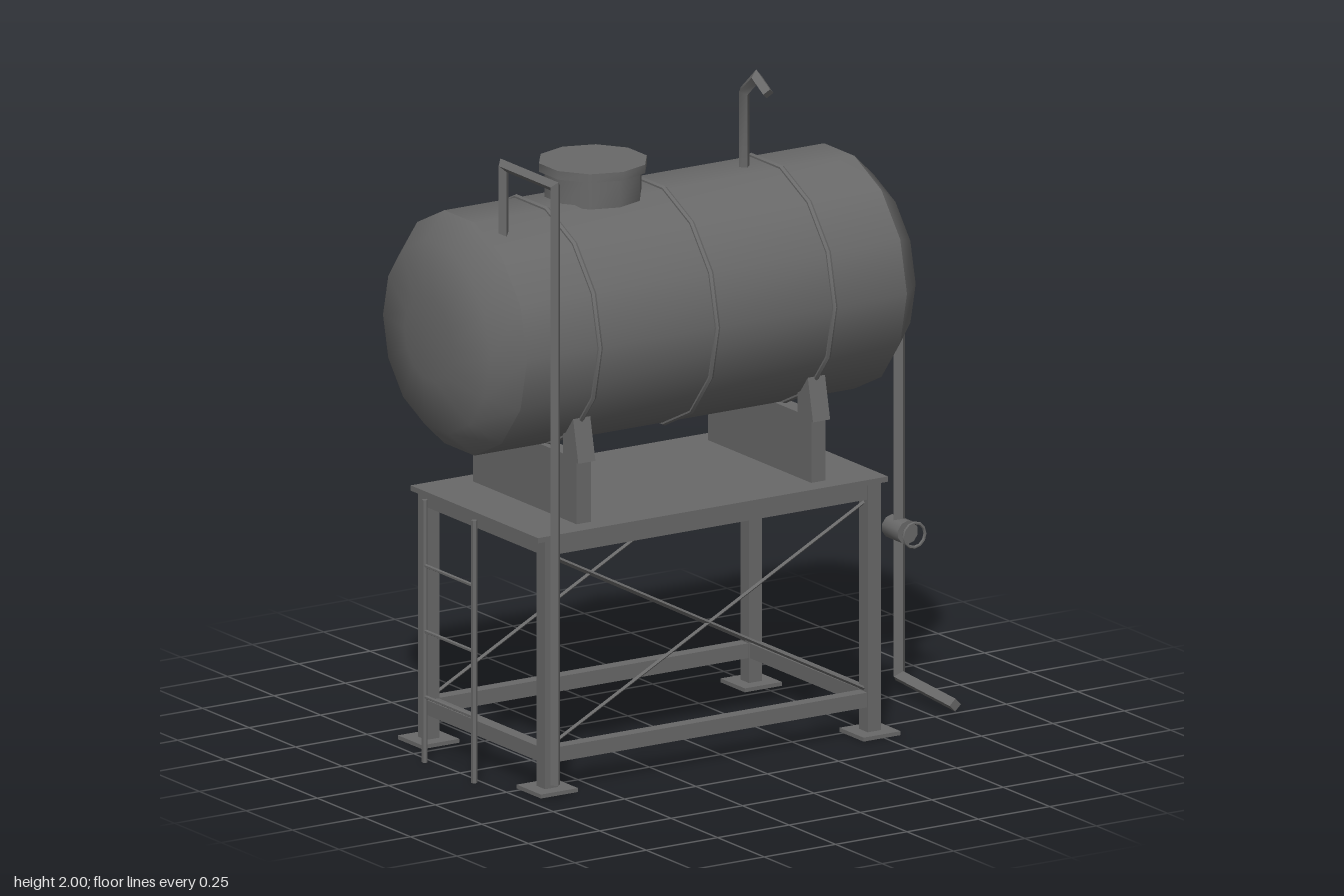
import * as THREE from 'three';
import { toCreasedNormals } from 'three/addons/utils/BufferGeometryUtils.js';

const CX = -0.073, CZ = -0.022, TANK_Y = 1.334; // tank and frame centre
const V = (x, y, z) => new THREE.Vector3(x, y, z);

export function createModel() {
  const root = new THREE.Group();
  const steel = new THREE.MeshStandardMaterial({ color: 0x696969 });

  function add(name, geometry, x = 0, y = 0, z = 0) {
    const mesh = new THREE.Mesh(toCreasedNormals(geometry, 0.7), steel);
    mesh.name = name;
    mesh.position.set(x, y, z);
    root.add(mesh);
    return mesh;
  }
  const box = (name, w, h, d, x, y, z) => add(name, new THREE.BoxGeometry(w, h, d), x, y, z);

  // Mitred pipe: one ring per point, each slid along its segment onto the mitre plane
  function pipe(name, points, radius, sides = 4) {
    const dirs = points.slice(1).map((p, i) => p.clone().sub(points[i]).normalize());
    const d0 = dirs[0];
    const u = (Math.abs(d0.x) > 0.9 ? V(0, 0, 1) : V(1, 0, 0)).cross(d0).normalize();
    const v = d0.clone().cross(u);
    let ring = [];
    for (let i = 0; i < sides; i++) {
      const a = (i / sides) * Math.PI * 2;
      ring.push(points[0].clone().addScaledVector(u, radius * Math.cos(a)).addScaledVector(v, radius * Math.sin(a)));
    }
    const pos = [], idx = [];
    const push = (p) => pos.push(p.x, p.y, p.z);
    ring.forEach(push);
    for (let k = 1; k < points.length; k++) {
      const d = dirs[k - 1];
      const n = d.clone().add(dirs[k] ?? d).normalize();
      ring = ring.map((p) => p.clone().addScaledVector(d, points[k].clone().sub(p).dot(n) / d.dot(n)));
      ring.forEach(push);
      for (let i = 0; i < sides; i++) {
        const j = (i + 1) % sides, a = (k - 1) * sides, b = k * sides;
        idx.push(a + i, a + j, b + j, a + i, b + j, b + i);
      }
    }
    const last = (points.length - 1) * sides;
    for (let i = 1; i < sides - 1; i++) {
      idx.push(0, i + 1, i, last, last + i, last + i + 1);
    }
    const g = new THREE.BufferGeometry();
    g.setAttribute('position', new THREE.Float32BufferAttribute(pos, 3));
    g.setIndex(idx);
    return add(name, g);
  }

  // Tank shell with bevelled, slightly domed ends
  const half = [[0.665, 0.364], [0.745, 0.288], [0.775, 0.126], [0.775, 0]];
  const profile = [
    ...half.slice().reverse().map(([x, r]) => new THREE.Vector2(r, -x)),
    ...half.map(([x, r]) => new THREE.Vector2(r, x)),
  ];
  add('tank', new THREE.LatheGeometry(profile, 14).rotateZ(-Math.PI / 2), CX, TANK_Y, CZ);

  // Bands round the tank
  for (const dx of [-0.411, 0, 0.411]) {
    add('tankBand', new THREE.TorusGeometry(0.365, 0.009, 6, 14).rotateY(Math.PI / 2), CX + dx, TANK_Y, CZ);
  }

  // Manhole, vertex towards the front
  add('manholeNeck', new THREE.CylinderGeometry(0.147, 0.147, 0.095, 10), -0.272, 1.7275, -0.02);
  add('manholeLid', new THREE.CylinderGeometry(0.164, 0.164, 0.026, 10), -0.272, 1.779, -0.02);

  // Saddles with cheeks that hold the tank
  for (const x of [CX - 0.411, CX + 0.411]) {
    box('saddle', 0.05, 0.2, 0.556, x, 0.88, CZ);
    for (const s of [-1, 1]) {
      const shape = new THREE.Shape(
        [[0.295, 0.97], [0.267, 1.1], [0.212, 1.08], [0.212, 0.97]].map(([z, y]) => new THREE.Vector2(z * s, y)));
      const g = new THREE.ExtrudeGeometry(shape, { depth: 0.06, bevelEnabled: false });
      add('saddleCheek', g.translate(CZ, 0, -0.03).rotateY(-Math.PI / 2), x);
    }
  }

  // Stand: deck, legs, feet, beams and cross braces
  const LX = 0.565, LZ = 0.319;
  box('deck', 1.226, 0.016, 0.684, CX, 0.773, CZ);
  for (const sx of [-1, 1]) {
    for (const sz of [-1, 1]) {
      box('leg', 0.046, 0.765, 0.046, CX + sx * LX, 0.3825, CZ + sz * LZ);
      box('footPlate', 0.13, 0.012, 0.13, CX + sx * LX, 0.006, CZ + sz * LZ);
    }
  }
  for (const s of [-1, 1]) {
    for (const y of [0.743, 0.11]) {
      box('longBeam', 2 * LX, 0.045, 0.04, CX, y, CZ + s * LZ);
      box('crossBeam', 0.04, 0.045, 2 * LZ, CX + s * LX, y, CZ);
    }
    for (const t of [-1, 1]) {
      const z = CZ + s * LZ;
      pipe('brace', [V(CX - t * LX, 0.72, z), V(CX + t * LX, 0.13, z)], 0.006);
    }
  }

  // Ladder at the right-hand end
  for (const s of [-1, 1]) {
    const z = CZ + s * 0.133;
    pipe('ladderRail', [V(-0.773, 0, z), V(-0.773, 0.8, z)], 0.009, 6);
  }
  for (const y of [0.2, 0.4, 0.6]) {
    pipe('ladderRung', [V(-0.773, y, CZ - 0.133), V(-0.773, y, CZ + 0.133)], 0.006, 6);
  }

  // Hooked vent on top
  pipe('ventPipe', [V(0.259, 1.6, CZ), V(0.259, 1.918, CZ), V(0.259, 1.977, 0.045), V(0.259, 1.94, 0.108)], 0.018);

  // Filling pipe over the tank's front
  pipe('fillPipe', [V(-0.673, 0.045, 0.393), V(-0.673, 1.867, 0.393), V(-0.673, 1.867, 0.115), V(-0.673, 1.6, 0.115)], 0.017);

  // Outlet pipe with valve and hand wheel
  pipe('outletPipe', [V(0.722, 1.135, CZ), V(0.803, 1.135, CZ), V(0.803, 0.053, CZ), V(0.803, 0.034, 0.278)], 0.02);
  add('valveBody', new THREE.CylinderGeometry(0.036, 0.036, 0.086, 10).rotateX(Math.PI / 2), 0.803, 0.5, -0.02);
  add('valveWheel', new THREE.TorusGeometry(0.037, 0.005, 6, 12), 0.803, 0.5, 0.058);

  return root;
}
